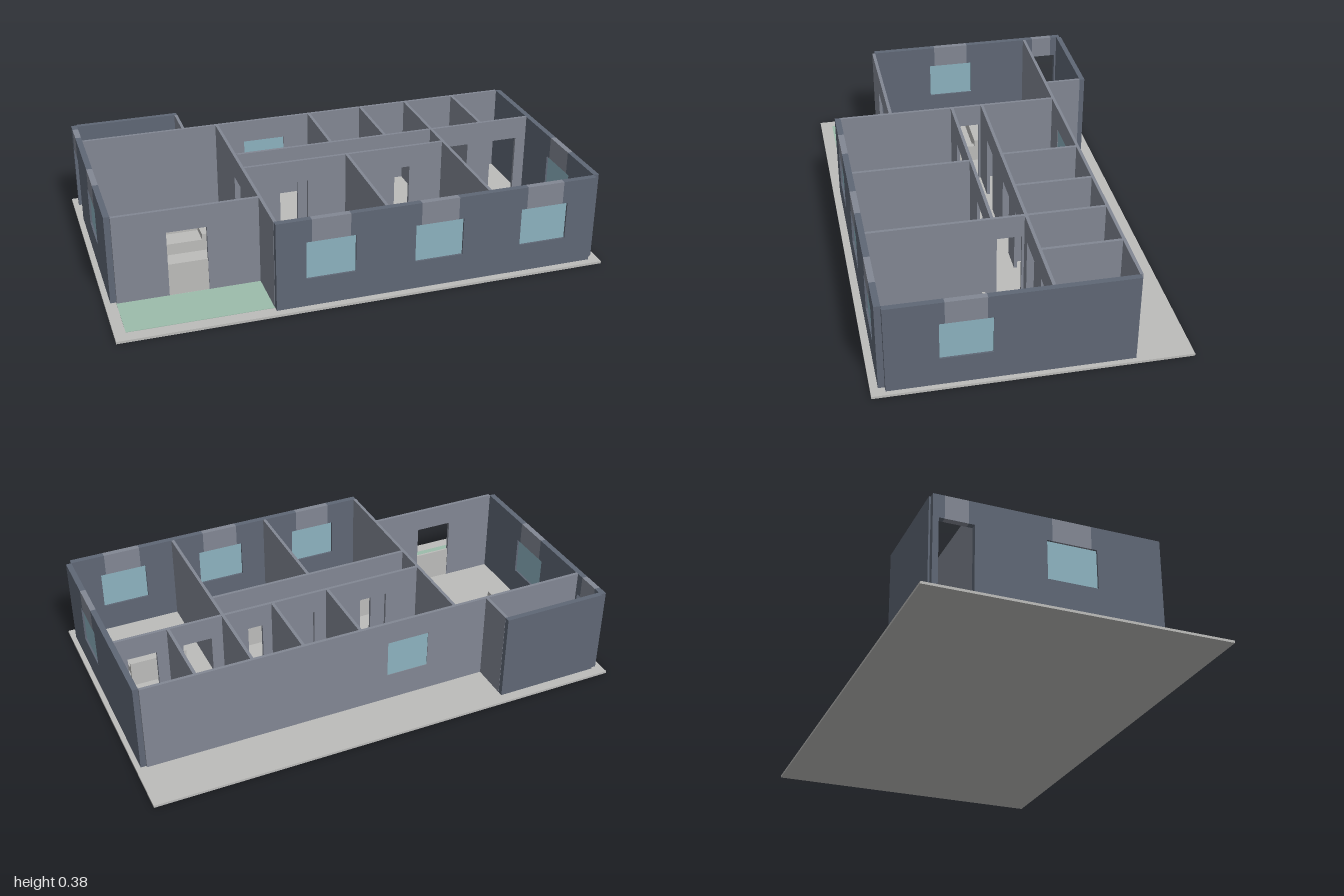
import * as THREE from 'three';

const mat = (name, color) => {
  const m = new THREE.MeshStandardMaterial({ color });
  m.name = name;
  return m;
};

const FLOOR = 0.01, TOP = 0.385, HEAD = 0.29, SILL = 0.13;

export function createModel() {
  const model = new THREE.Group();
  model.name = 'house';
  const outer = mat('dark slate', 0x5f6775);
  const inner = mat('light slate', 0x828793);
  const stone = mat('pale grey', 0xbcbcba);
  const glass = mat('window blue', 0x8cb2bf);
  const green = mat('patio green', 0x9cbcab);

  // Box given by its limits on each axis
  const box = (parent, name, material, x0, x1, y0, y1, z0, z1) => {
    const mesh = new THREE.Mesh(new THREE.BoxGeometry(x1 - x0, y1 - y0, z1 - z0), material);
    mesh.position.set((x0 + x1) / 2, (y0 + y1) / 2, (z0 + z1) / 2);
    mesh.name = name;
    parent.add(mesh);
  };

  // Wall running along 'x' or 'z' from a to b, between c0 and c1 on the other axis.
  // Each opening is { at, w, window }, listed in rising order.
  const wall = (name, axis, a, b, c0, c1, material, openings = []) => {
    const g = new THREE.Group();
    g.name = name;
    const part = (n, m, s, e, y0, y1, d0 = c0, d1 = c1) => axis === 'x'
      ? box(g, n, m, s, e, y0, y1, d0, d1)
      : box(g, n, m, d0, d1, y0, y1, s, e);
    let from = a;
    for (const { at, w, window } of openings) {
      const s = at - w / 2, e = at + w / 2;
      part('wallPanel', material, from, s, FLOOR, TOP);
      if (material === outer) {
        // light lintel between dark ends
        const k = 0.022;
        part('headerEnd', outer, s, s + k, HEAD, TOP);
        part('lintel', inner, s + k, e - k, HEAD, TOP);
        part('headerEnd', outer, e - k, e, HEAD, TOP);
      } else {
        part('header', material, s, e, HEAD, TOP);
      }
      if (window) {
        const mid = (c0 + c1) / 2;
        part('sillWall', material, s, e, FLOOR, SILL);
        part('windowPane', glass, s, e, SILL, HEAD, mid - 0.004, mid + 0.004);
      }
      from = e;
    }
    part('wallPanel', material, from, b, FLOOR, TOP);
    model.add(g);
  };
  const win = (at, w = 0.2) => ({ at, w, window: true });
  const door = (at, w = 0.12) => ({ at, w });

  // Ground slab and patio
  box(model, 'slab', stone, -1, 1, 0, FLOOR, -0.613, 0.613);
  box(model, 'patio', green, -0.955, -0.375, FLOOR, FLOOR + 0.002, 0.348, 0.56);

  // Outer walls
  wall('frontWall', 'x', -0.375, 0.957, 0.558, 0.583, outer, [win(-0.155), win(0.29), win(0.737)]);
  wall('leftWall', 'z', -0.388, 0.558, 0.957, 0.98, outer, [win(0.257)]);
  wall('rightWall', 'z', -0.565, 0.335, -0.977, -0.953, outer, [door(-0.475, 0.135), win(-0.028)]);
  wall('lobbyBackWall', 'x', -0.953, -0.512, -0.572, -0.55, outer);
  wall('lobbySideWall', 'z', -0.55, -0.397, -0.524, -0.511, inner);
  wall('backWall', 'x', -0.953, 0.957, -0.397, -0.384, inner, [win(-0.16, 0.18)]);
  wall('porchWall', 'x', -0.953, -0.375, 0.333, 0.347, inner, [door(-0.665, 0.16)]);
  box(model, 'porchHalfDoor', stone, -0.745, -0.585, FLOOR, 0.147, 0.336, 0.344);

  // Long partitions
  const t = 0.0065;
  wall('livingPartition', 'z', -0.384, 0.558, -0.37 - t, -0.37 + t, inner, [door(0, 0.1)]);
  wall('mainBedroomPartition', 'z', -0.384, 0.558, 0.506 - t, 0.506 + t, inner, [door(0, 0.1)]);
  wall('hallBackPartition', 'x', -0.363, 0.957, -0.066 - t, -0.066 + t, inner,
    [door(-0.16), door(0.17), door(0.4), door(0.62), door(0.85)]);
  wall('hallFrontPartition', 'x', -0.363, 0.5, 0.068 - t, 0.068 + t, inner, [door(-0.155), door(0.295)]);

  // Short partitions between rooms
  for (const x of [0.05, 0.293, 0.736])
    wall('serviceRoomPartition', 'z', -0.384, -0.072, x - t, x + t, inner);
  wall('bedroomPartition', 'z', 0.074, 0.558, 0.076 - t, 0.076 + t, inner);

  // Beds: centre x and headboard z
  for (const [x, z] of [[-0.153, 0.182], [0.291, 0.182], [0.735, 0.117]]) {
    const bed = new THREE.Group();
    bed.name = 'bed';
    bed.position.set(x, 0, z);
    box(bed, 'headboard', stone, -0.121, 0.121, FLOOR, 0.12, 0, 0.012);
    box(bed, 'bedBase', stone, -0.121, 0.121, FLOOR, 0.04, 0.012, 0.268);
    box(bed, 'mattress', stone, -0.114, 0.114, 0.04, 0.07, 0.012, 0.26);
    for (const s of [-1, 1])
      box(bed, 'pillow', stone, s * 0.058 - 0.048, s * 0.058 + 0.048, 0.07, 0.085, 0.02, 0.064);
    model.add(bed);
  }

  // Sofa
  const sofa = new THREE.Group();
  sofa.name = 'sofa';
  box(sofa, 'sofaBack', stone, -0.815, -0.517, FLOOR, 0.115, -0.08, -0.06);
  box(sofa, 'sofaSeat', stone, -0.79, -0.542, FLOOR, 0.06, -0.06, 0.028);
  for (const x of [-0.815, -0.542])
    box(sofa, 'sofaArm', stone, x, x + 0.025, FLOOR, 0.085, -0.06, 0.028);
  model.add(sofa);

  return model;
}
